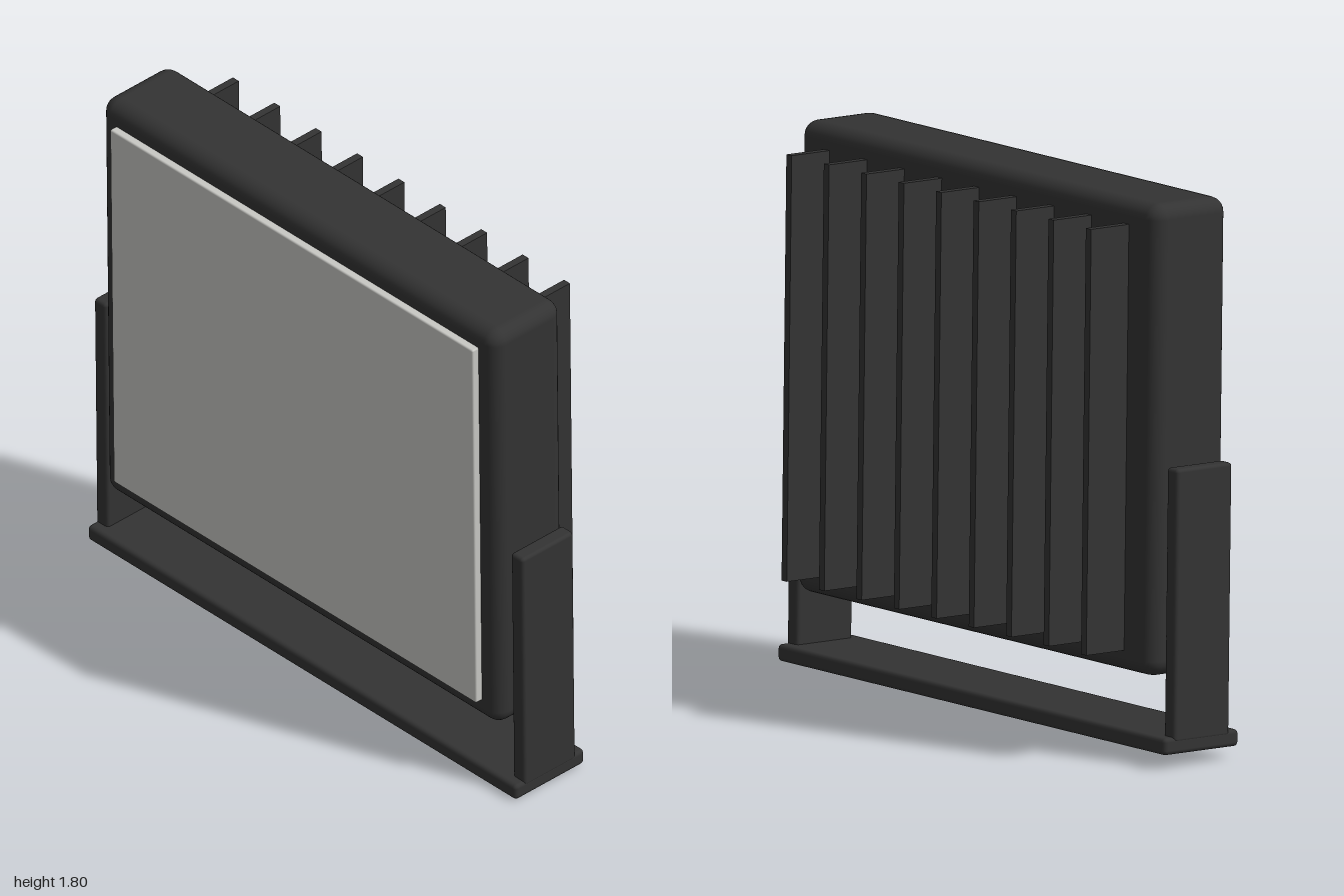
import * as THREE from 'three';
import { RoundedBoxGeometry } from 'three/addons/geometries/RoundedBoxGeometry.js';

export function createModel() {
  const housing = new THREE.MeshStandardMaterial({ color: 0x333333 });
  housing.name = 'charcoal metal';
  const glass = new THREE.MeshStandardMaterial({ color: 0xc8c8c4 });
  glass.name = 'pale glass';

  const model = new THREE.Group();
  model.name = 'floodlight';

  // The whole lamp leans slightly forward and to its left
  const lamp = new THREE.Group();
  lamp.name = 'leaningLamp';
  lamp.position.set(-0.011, 0, 0.035);
  lamp.rotation.set(0.03, 0, -0.02);
  model.add(lamp);

  function add(name, geometry, material, x, y, z) {
    const mesh = new THREE.Mesh(geometry, material);
    mesh.name = name;
    mesh.position.set(x, y, z);
    lamp.add(mesh);
  }

  // Lamp body and raised front glass
  add('body', new RoundedBoxGeometry(1.822, 1.518, 0.3, 3, 0.05), housing, 0, 1.021, 0);
  add('frontGlass', new RoundedBoxGeometry(1.674, 1.367, 0.05, 2, 0.006), glass, 0, 1.023, 0.151);

  // Cooling fins on the back
  const fin = new THREE.BoxGeometry(0.027, 1.37, 0.17);
  for (let i = 0; i < 9; i++) {
    add('coolingFin' + (i + 1), fin, housing, (i - 4) * 0.191, 1.018, -0.217);
  }

  // Bracket: floor bar and two upright arms
  add('bracketBar', new RoundedBoxGeometry(1.978, 0.055, 0.3, 2, 0.014), housing, 0, 0.053, 0);
  const arm = new RoundedBoxGeometry(0.055, 0.88, 0.223, 2, 0.012);
  for (const side of [1, -1]) {
    add(side > 0 ? 'leftArm' : 'rightArm', arm, housing, side * 0.962, 0.502, 0);
  }
  return model;
}
